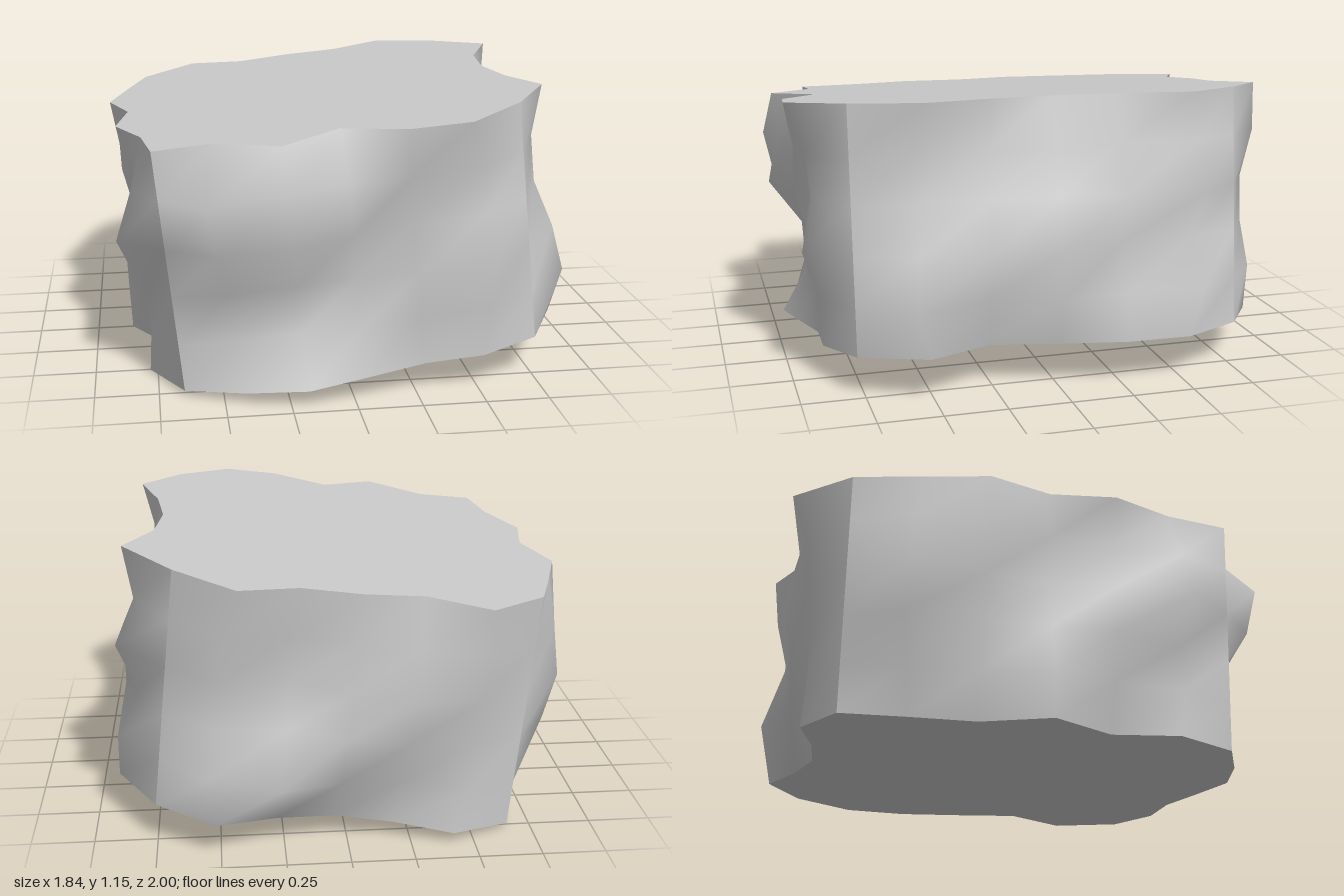
import * as THREE from 'three';

const W = 1.41, D = 1.56, H = 0.966;   // undisplaced block
const COLS = 6, ROWS = 5;

// Outward bulge of the inner columns, rows from top to bottom
const SIDES = [
  { name: 'frontFace', width: W, depth: D / 2, turn: 0, bulge: [
    [0, .19, .03, .19, .21], [.21, .18, .14, .15, .14], [.17, .22, .14, .1, .12],
    [.06, .08, .08, .13, .17], [.05, .07, .1, .08, .11], [.115, .185, .14, .09, .1]] },
  { name: 'leftFace', width: D, depth: W / 2, turn: Math.PI / 2, bulge: [
    [.165, .085, .055, .085, .2], [.1, .08, .1, .1, .14], [.1, .1, .13, .18, .2],
    [.16, .15, .19, .1, .1], [.19, .06, .17, .17, .17], [.135, 0, .08, .15, .155]] },
  { name: 'backFace', width: W, depth: D / 2, turn: Math.PI, bulge: [
    [.2, .11, .13, .1, .21], [.17, .1, .13, .14, .15], [.12, .06, .15, .2, .12],
    [.12, .1, .15, .15, .1], [.15, .22, .12, .07, .1], [.15, .06, .01, .04, .11]] },
  { name: 'rightFace', width: D, depth: W / 2, turn: -Math.PI / 2, bulge: [
    [.085, .165, .085, .135, .035], [.13, .15, .1, .08, .1], [.17, .12, .08, .14, .185],
    [.14, .1, .12, .17, .07], [.06, .1, .19, .12, .1], [.035, .06, .2, .06, .13]] },
];

// A subdivided wall pushed outwards; its corner columns stay straight and the
// columns beside them lean towards the corner where they bulge between the rims
function wall({ width, depth, turn, bulge }) {
  const geo = new THREE.PlaneGeometry(width, H, COLS, ROWS);
  const pos = geo.attributes.position;
  for (let r = 0; r <= ROWS; r++) {
    for (let c = 0; c <= COLS; c++) {
      const i = r * (COLS + 1) + c;
      const push = c === 0 || c === COLS ? 0 : bulge[r][c - 1];
      const lean = r > 0 && r < ROWS && (c === 1 || c === COLS - 1) ? 0.3 * push : 0;
      pos.setX(i, pos.getX(i) + Math.sign(c - COLS / 2) * lean);
      pos.setZ(i, depth + push);
    }
  }
  geo.rotateY(turn);
  geo.computeVertexNormals();
  return geo;
}

// Flat cap that follows the rims of all four walls; dir is 1 for top, -1 for bottom
function cap(walls, dir) {
  const start = dir > 0 ? 0 : ROWS * (COLS + 1);
  const rim = [];
  for (const { attributes: { position } } of walls) {
    for (let c = 0; c < COLS; c++) {
      rim.push(new THREE.Vector2(position.getX(start + c), -dir * position.getZ(start + c)));
    }
  }
  return new THREE.ShapeGeometry(new THREE.Shape(rim))
    .rotateX(-dir * Math.PI / 2)
    .translate(0, dir * H / 2, 0);
}

export function createModel() {
  const model = new THREE.Group();
  model.name = 'rock';
  const material = new THREE.MeshStandardMaterial({ color: 0xcccccc });
  const block = new THREE.Group();
  block.name = 'tiltedBlock';

  const add = (geo, name) => {
    const mesh = new THREE.Mesh(geo, material);
    mesh.name = name;
    block.add(mesh);
  };

  const walls = SIDES.map(wall);
  walls.forEach((geo, i) => add(geo, SIDES[i].name));
  add(cap(walls, 1), 'topFace');
  add(cap(walls, -1), 'bottomFace');

  // The whole block leans to one side
  block.rotation.z = 0.104;
  block.position.y = 0.577;
  model.add(block);
  return model;
}
